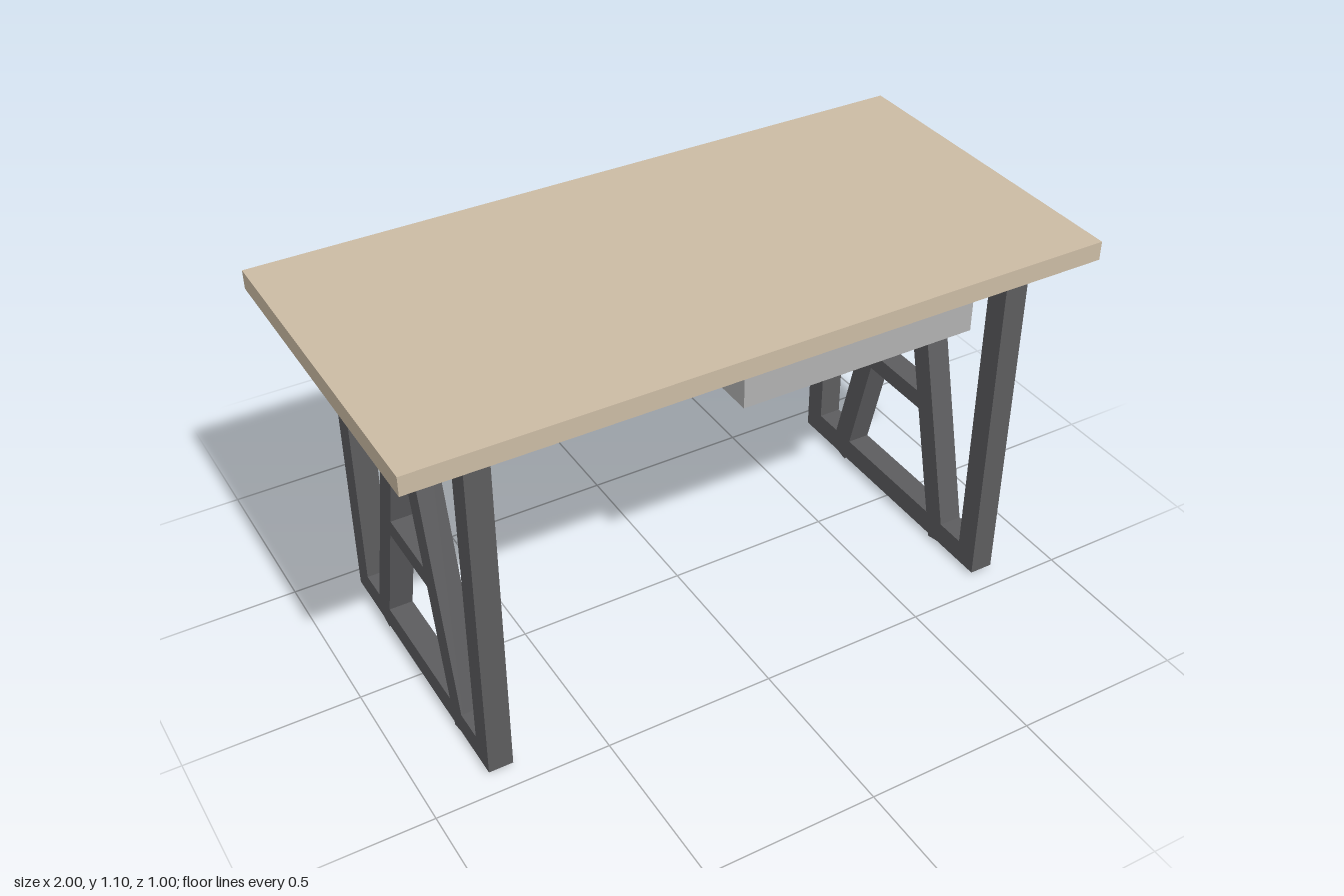
import * as THREE from 'three';

const material = (color) => new THREE.MeshStandardMaterial({ color, flatShading: true });
const wood = material(0xcbbba4);
const steel = material(0x5c5c5e);
const lightGrey = material(0xb1b1b1);
const darkGrey = material(0x727274);

function addBox(parent, name, mat, [w, h, d], [x, y, z]) {
  const mesh = new THREE.Mesh(new THREE.BoxGeometry(w, h, d), mat);
  mesh.name = name;
  mesh.position.set(x, y, z);
  parent.add(mesh);
  return mesh;
}

// One A-shaped trestle with upright posts, lying in the yz plane
function createTrestle(name, x) {
  const t = 0.07;
  const trestle = new THREE.Group();
  trestle.name = name;
  trestle.position.x = x;

  for (const side of [1, -1]) {
    addBox(trestle, side > 0 ? 'frontPost' : 'backPost', steel, [t, 1.03, t], [0, 0.525, side * 0.4]);
    // slanted braces meeting under the top
    const brace = addBox(trestle, side > 0 ? 'frontBrace' : 'backBrace', steel,
      [t, 1.07, t], [0, 0.5275, side * 0.128]);
    brace.rotation.x = -side * Math.atan(0.25);
  }
  addBox(trestle, 'footRail', steel, [t, 0.07, 0.86], [0, 0.045, 0]);
  addBox(trestle, 'crossbar', steel, [t, 0.055, 0.26], [0, 0.44, 0]);
  return trestle;
}

export function createModel() {
  const desk = new THREE.Group();
  desk.name = 'desk';

  addBox(desk, 'tabletop', wood, [2, 0.055, 1], [0, 1.0675, 0]);
  desk.add(createTrestle('leftTrestle', 0.785), createTrestle('rightTrestle', -0.785));

  // Drawer unit under the front, cable tray along the back
  addBox(desk, 'drawer', lightGrey, [0.71, 0.17, 0.65], [0.315, 0.955, 0.075]);
  addBox(desk, 'cableTray', darkGrey, [1.28, 0.115, 0.2], [0, 0.97, -0.37]);
  return desk;
}
